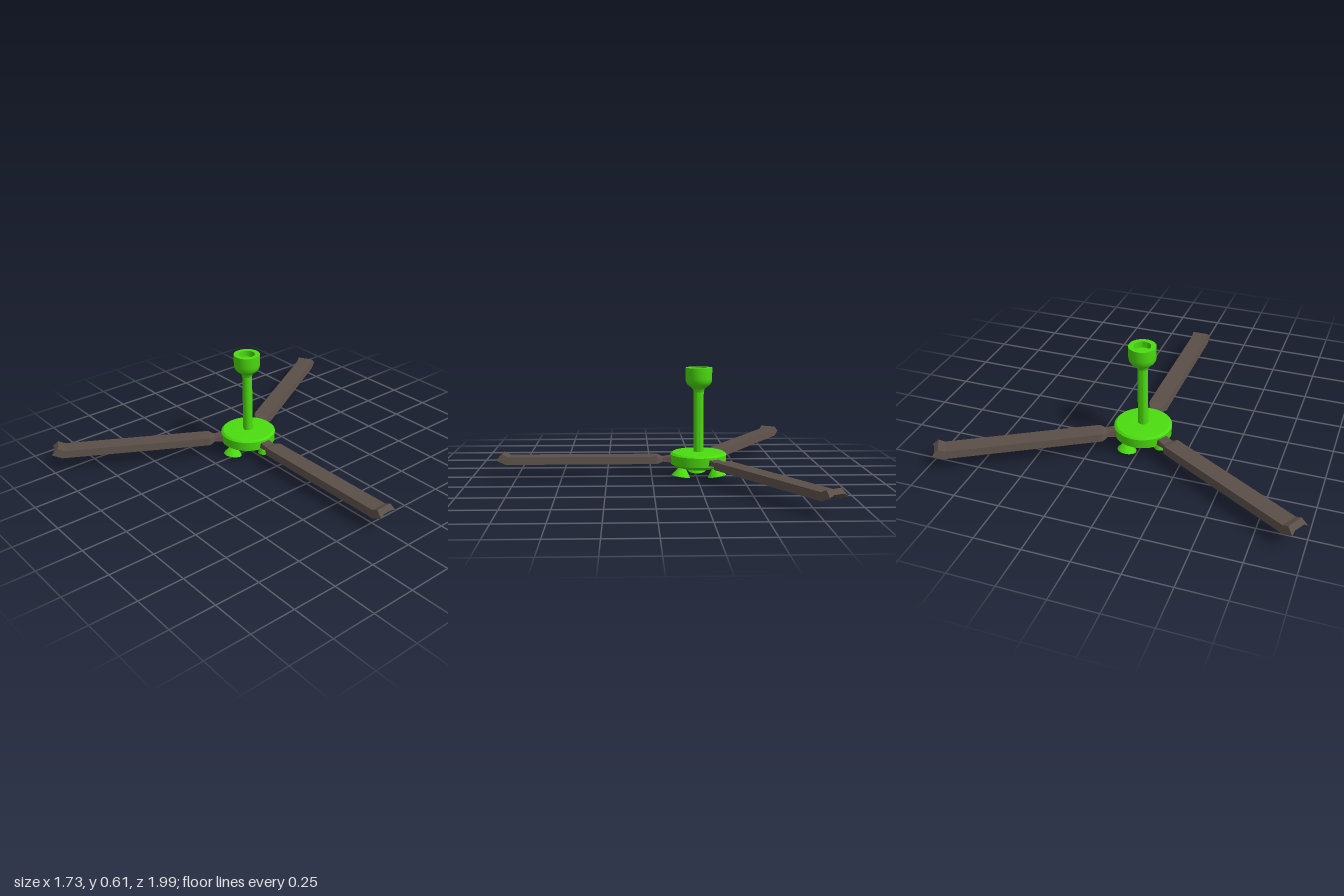
import * as THREE from 'three';
import { toCreasedNormals } from 'three/addons/utils/BufferGeometryUtils.js';

const green = new THREE.MeshStandardMaterial({ color: 0x4bdc10, side: THREE.DoubleSide });
const brown = new THREE.MeshStandardMaterial({ color: 0x5b4f48, flatShading: true });

// Turned part from [radius, height] pairs, listed from bottom to top
function turned(name, profile, segments = 32) {
  const points = profile.map(([r, y]) => new THREE.Vector2(r, y));
  const mesh = new THREE.Mesh(toCreasedNormals(new THREE.LatheGeometry(points, segments), 0.6), green);
  mesh.name = name;
  return mesh;
}

// Blade lofted along +x through channel-shaped cross-sections
function bladeGeometry() {
  // [x at bottom, x at top, half width, bottom y, top y]
  const stations = [
    [0.10, 0.10, 0.035, 0.083, 0.118],
    [0.16, 0.16, 0.035, 0.085, 0.116],
    [0.20, 0.20, 0.035, 0.090, 0.110],
    [0.23, 0.23, 0.055, 0.080, 0.120],
    [1.065, 1.05, 0.055, 0.080, 0.120],
    [1.12, 1.085, 0.055, 0.105, 0.137],
  ];
  // [across, up] fractions of the cross-section
  const section = [[-1, 0], [-0.85, 1], [0.85, 1], [1, 0], [0.7, 0.3], [-0.7, 0.3]];
  const n = section.length;
  const positions = [], index = [];
  for (const [xb, xt, w, yb, yt] of stations) {
    for (const [u, v] of section) {
      positions.push(xb + (xt - xb) * v, yb + (yt - yb) * v, u * w);
    }
  }
  for (let i = 0; i < stations.length - 1; i++) {
    for (let j = 0; j < n; j++) {
      const a = i * n + j, b = i * n + (j + 1) % n;
      index.push(a, b, b + n, a, b + n, a + n);
    }
  }
  // End caps
  const last = (stations.length - 1) * n;
  for (let k = 2; k <= n; k++) {
    const p = k, q = (k + 1) % n;
    if (k < n) {
      index.push(last + 1, last + p, last + q);
      index.push(1, q, p);
    }
  }
  const indexed = new THREE.BufferGeometry();
  indexed.setAttribute('position', new THREE.Float32BufferAttribute(positions, 3));
  indexed.setIndex(index);
  const geometry = indexed.toNonIndexed();
  geometry.computeVertexNormals();
  return geometry;
}

export function createModel() {
  const model = new THREE.Group();
  model.name = 'ceilingFan';
  const fan = new THREE.Group();
  fan.name = 'fan';
  fan.position.x = -0.26;
  model.add(fan);

  // Motor housing, rod and ceiling cup
  fan.add(turned('motorHousing', [
    [0, 0.052], [0.10, 0.052], [0.135, 0.062], [0.155, 0.076], [0.157, 0.128], [0.145, 0.138], [0, 0.143],
  ]));
  fan.add(turned('downRod', [[0.028, 0.14], [0.028, 0.49]], 24));
  fan.add(turned('ceilingCup', [
    [0.028, 0.475], [0.033, 0.492], [0.045, 0.502], [0.062, 0.515], [0.071, 0.53],
    [0.074, 0.55], [0.074, 0.61], [0.046, 0.61], [0.046, 0.575], [0, 0.575],
  ]));

  // Three blades
  const blade = bladeGeometry();
  for (let i = 0; i < 3; i++) {
    const mesh = new THREE.Mesh(blade, brown);
    mesh.name = 'blade' + (i + 1);
    mesh.rotation.y = i * Math.PI * 2 / 3;
    fan.add(mesh);
  }

  // Three lamps, tilted outward below the housing
  for (let i = 0; i < 3; i++) {
    const arm = new THREE.Group();
    arm.name = 'lamp' + (i + 1);
    arm.rotation.y = -Math.PI / 2 + i * Math.PI * 2 / 3;
    const lamp = new THREE.Group();
    lamp.position.set(0.105, 0.066, 0);
    lamp.rotation.z = 0.2;
    lamp.add(turned('lampShade', [
      [0.052, -0.056], [0.048, -0.048], [0.036, -0.032], [0.026, -0.017], [0.018, -0.008], [0.016, 0.006],
    ], 24));
    const bulb = new THREE.Mesh(new THREE.SphereGeometry(0.02, 16, 10), green);
    bulb.name = 'bulb';
    bulb.position.y = -0.033;
    lamp.add(bulb);
    arm.add(lamp);
    fan.add(arm);
  }
  return model;
}
